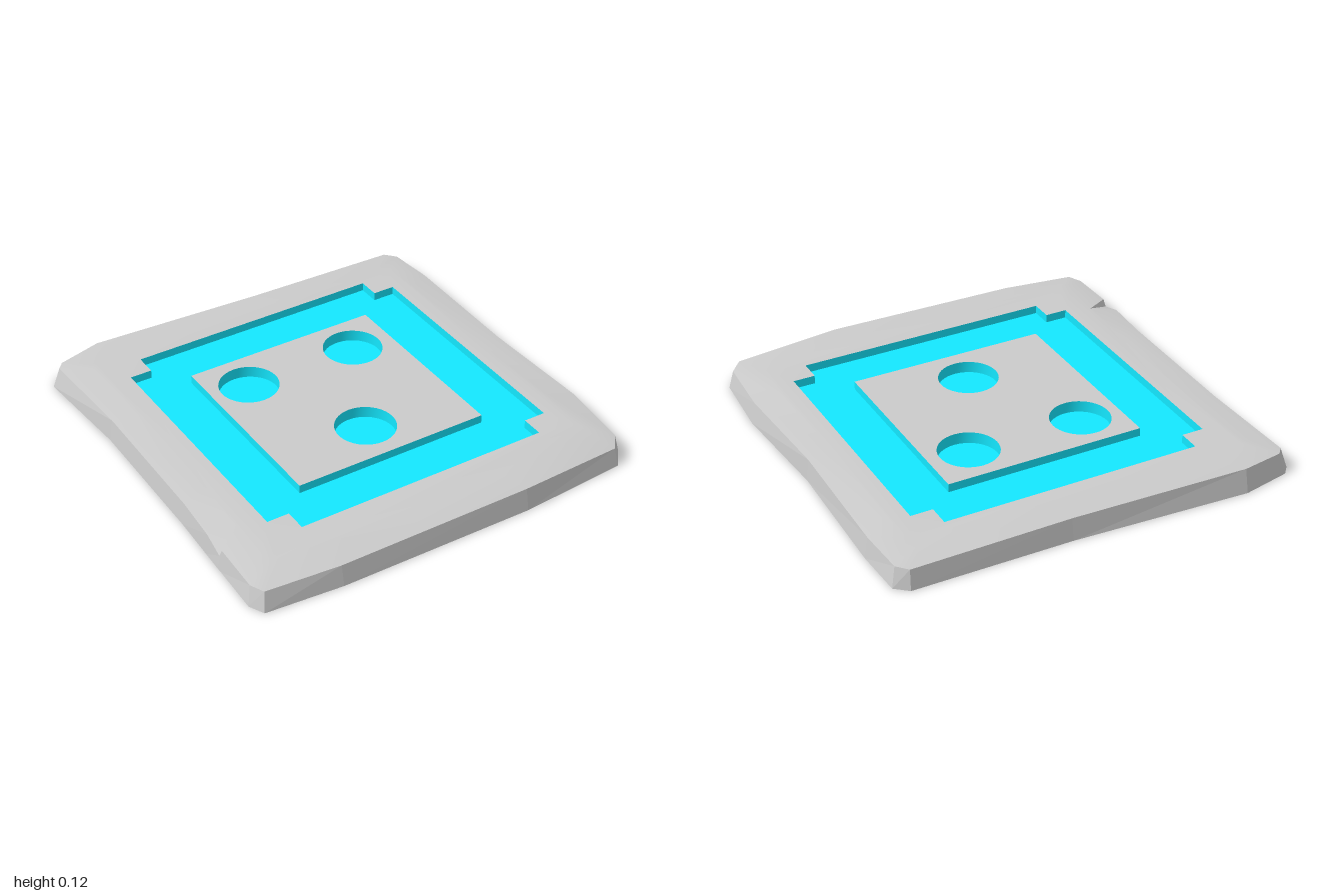
import * as THREE from 'three';
import { mergeGeometries, toCreasedNormals } from 'three/addons/utils/BufferGeometryUtils.js';

const TOP = 0.12, FLOOR = 0.08, PIT = 0.065;

// Uneven slab outline, clockwise from above: base x, base z, rim x, rim z, rim height
const EDGE = [
  [-0.94, -0.95, -0.915, -0.93, 0.1], [-0.71, -1, -0.71, -0.975, 0.11],
  [0.13, -0.955, 0.13, -0.94, 0.105], [0.88, -0.95, 0.875, -0.935, 0.095],
  [0.94, -0.9, 0.92, -0.885, 0.095], [0.95, -0.66, 0.935, -0.66, 0.1],
  [0.93, -0.02, 0.92, -0.02, 0.105], [0.965, 0.53, 0.945, 0.53, 0.1],
  [0.94, 0.87, 0.92, 0.86, 0.088], [0.87, 0.955, 0.86, 0.935, 0.086],
  [0.35, 0.995, 0.35, 0.975, 0.103], [-0.58, 0.99, -0.58, 0.97, 0.096],
  [-0.94, 0.96, -0.925, 0.935, 0.09], [-0.975, 0.89, -0.955, 0.87, 0.09],
  // chipped notch
  [-0.965, 0.645, -0.95, 0.635, 0.1], [-0.965, 0.62, -0.955, 0.62, 0.065],
  [-0.96, 0.51, -0.95, 0.51, 0.1],
  [-0.95, 0.29, -0.935, 0.29, 0.102], [-0.94, -0.4, -0.925, -0.4, 0.105],
  [-0.975, -0.91, -0.945, -0.895, 0.1],
];

// Outlines are lists of [x, z]; loops are lists of [x, y, z]
const at = (outline, y) => outline.map(([x, z]) => [x, y, z]);

function loft(a, b) {
  const p = [];
  a.forEach((v, i) => {
    const j = (i + 1) % a.length;
    p.push(...v, ...b[i], ...a[j], ...a[j], ...b[i], ...b[j]);
  });
  const g = new THREE.BufferGeometry();
  g.setAttribute('position', new THREE.Float32BufferAttribute(p, 3));
  g.computeVertexNormals();
  return g;
}

// Flat face at height y, facing up or down, with optional holes
function flat(outline, y, holes = [], up = true) {
  const s = up ? -1 : 1;
  const pts = (o) => o.map(([x, z]) => new THREE.Vector2(x, s * z));
  const shape = new THREE.Shape(pts(outline));
  holes.forEach((h) => shape.holes.push(new THREE.Path(pts(h))));
  const g = new THREE.ShapeGeometry(shape).rotateX(s * Math.PI / 2).translate(0, y, 0).toNonIndexed();
  g.deleteAttribute('uv');
  return g;
}

const circle = (x, z, r, n = 40) => Array.from({ length: n }, (_, i) => {
  const t = (i / n) * Math.PI * 2;
  return [x + r * Math.cos(t), z + r * Math.sin(t)];
});

// Rectangle with square steps cut from its corners
function steppedRect(x0, x1, z0, z1, s) {
  return [[x0, z0 + s], [x0 + s, z0 + s], [x0 + s, z0], [x1 - s, z0], [x1 - s, z0 + s], [x1, z0 + s],
    [x1, z1 - s], [x1 - s, z1 - s], [x1 - s, z1], [x0 + s, z1], [x0 + s, z1 - s], [x0, z1 - s]];
}

export function createModel() {
  const group = new THREE.Group();
  const grey = new THREE.MeshStandardMaterial({ color: 0xcccccc });
  const cyan = new THREE.MeshStandardMaterial({ color: 0x14e8ff });
  const add = (name, material, ...parts) => {
    const mesh = new THREE.Mesh(mergeGeometries(parts), material);
    mesh.name = name;
    group.add(mesh);
    return mesh;
  };

  const base = EDGE.map((e) => [e[0], e[1]]);
  const rim = EDGE.map((e) => [e[2], e[4], e[3]]);
  const shoulder = EDGE.map((e) => [e[2] * 0.87, e[3] * 0.87]);
  const recess = steppedRect(-0.71, 0.725, -0.735, 0.7, 0.105);
  const island = [[-0.47, -0.495], [0.48, -0.495], [0.48, 0.46], [-0.47, 0.46]];
  const pits = [[-0.28, -0.295], [0.28, -0.295], [0, 0.25]].map(([x, z]) => circle(x, z, 0.14));

  // Slab sides and underside
  add('slabSides', grey, loft(at(base, 0), rim), flat(base, 0, [], false));

  // Softly worn border around the recess
  const border = add('slabTop', grey, loft(rim, at(shoulder, TOP)), flat(shoulder, TOP, [recess]));
  border.geometry = toCreasedNormals(border.geometry, 0.4);

  // Sunken coloured channel and its walls
  add('channel', cyan, flat(recess, FLOOR, [island]),
    loft(at(recess, TOP), at(recess, FLOOR)), loft(at(island, FLOOR), at(island, TOP)));

  // Raised centre panel with three round pits
  add('centrePanel', grey, flat(island, TOP, pits));
  pits.forEach((p, i) => {
    const pit = add('pit' + (i + 1), cyan, loft(at(p, TOP), at(p, PIT)), flat(p, PIT));
    pit.geometry = toCreasedNormals(pit.geometry, 0.6);
  });
  return group;
}
